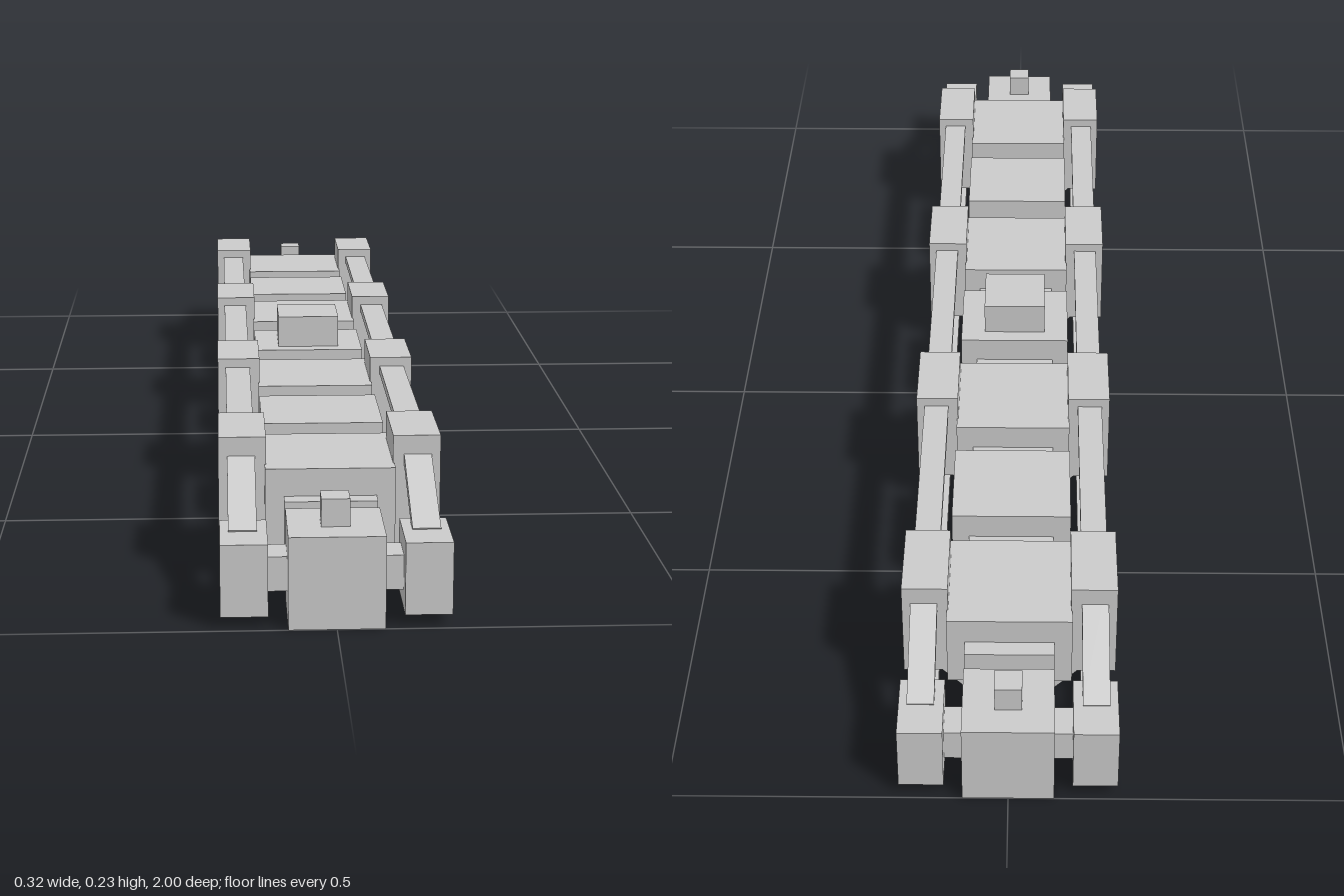
import * as THREE from 'three';

const material = new THREE.MeshStandardMaterial({ color: 0xcccccc, flatShading: true });

export function createModel() {
  const model = new THREE.Group();

  const add = (name, geometry) => {
    const mesh = new THREE.Mesh(geometry, material);
    mesh.name = name;
    model.add(mesh);
    return mesh;
  };

  // Box given by its limits on each axis
  const box = (name, x0, x1, y0, y1, z0, z1) => {
    const mesh = add(name, new THREE.BoxGeometry(x1 - x0, y1 - y0, z1 - z0));
    mesh.position.set((x0 + x1) / 2, (y0 + y1) / 2, (z0 + z1) / 2);
    return mesh;
  };

  // Box on one side of the model, s = 1 for left, -1 for right
  const sideBox = (name, s, x0, x1, ...rest) =>
    s > 0 ? box(name, x0, x1, ...rest) : box(name, -x1, -x0, ...rest);

  // Spine linking all hull modules
  box('spine', -0.025, 0.025, 0.043, 0.093, -0.9, 0.9);

  // Hull modules: centre, half length of the base, half length of the body, underside of the body
  const modules = [
    [0.72, 0.12, 0.093, 0.055], [0.483, 0.105, 0.085, 0.07],
    [0.243, 0.117, 0.093, 0.055], [0, 0.105, 0.08, 0.07],
    [-0.243, 0.117, 0.093, 0.055], [-0.483, 0.105, 0.085, 0.07],
    [-0.72, 0.12, 0.093, 0.055],
  ];
  for (const [z, base, body, bottom] of modules) {
    box('moduleBase', -0.067, 0.067, 0, 0.133, z - base, z + base);
    box('moduleBody', -0.094, 0.094, bottom, 0.174, z - body, z + body);
  }

  // Raised box on the middle module
  box('topBox', -0.053, 0.053, 0.174, 0.228, -0.053, 0.053);

  // End blocks with knob and cross bar
  for (const e of [1, -1]) {
    const z = e * 0.935;
    box('endBlock', -0.067, 0.067, 0, 0.133, z - 0.065, z + 0.065);
    box('endKnob', -0.02, 0.02, 0.133, 0.173, z - 0.02, z + 0.02);
    box('crossBar', -0.1, 0.1, 0.043, 0.093, z - 0.027, z + 0.027);
  }

  // Slanted brace section below the pylons
  const brace = new THREE.Shape([
    new THREE.Vector2(0.06, 0.008), new THREE.Vector2(0.115, 0.065), new THREE.Vector2(0.06, 0.065),
  ]);
  const braceGeometry = new THREE.ExtrudeGeometry(brace, { depth: 0.042, bevelEnabled: false });

  for (const s of [1, -1]) {
    // Pylons, each with two braces
    for (const z of [0.72, 0.243, -0.243, -0.72]) {
      sideBox('pylon', s, 0.092, 0.161, 0.053, 0.215, z - 0.068, z + 0.068);
      for (const dz of [-0.046, 0.046]) {
        const mesh = add('pylonBrace', braceGeometry);
        mesh.rotation.y = s > 0 ? 0 : Math.PI;
        mesh.position.z = z + dz - s * 0.021;
      }
    }

    // Long rails
    sideBox('upperRail', s, 0.108, 0.148, 0.187, 0.2, -0.72, 0.72);
    sideBox('lowerRail', s, 0.108, 0.148, 0.03, 0.043, -0.93, 0.93);

    // Corner blocks and the sloping rails down to them
    for (const e of [1, -1]) {
      sideBox('cornerBlock', s, 0.094, 0.16, 0.016, 0.12, e * 0.935 - 0.055, e * 0.935 + 0.055);
      const dz = 0.19, dy = -0.085;
      const rail = add('slopingRail', new THREE.BoxGeometry(0.04, 0.014, Math.hypot(dz, dy)));
      rail.position.set(s * 0.128, 0.158, e * 0.835);
      rail.rotation.x = -e * Math.atan2(dy, dz);
    }
  }
  return model;
}
